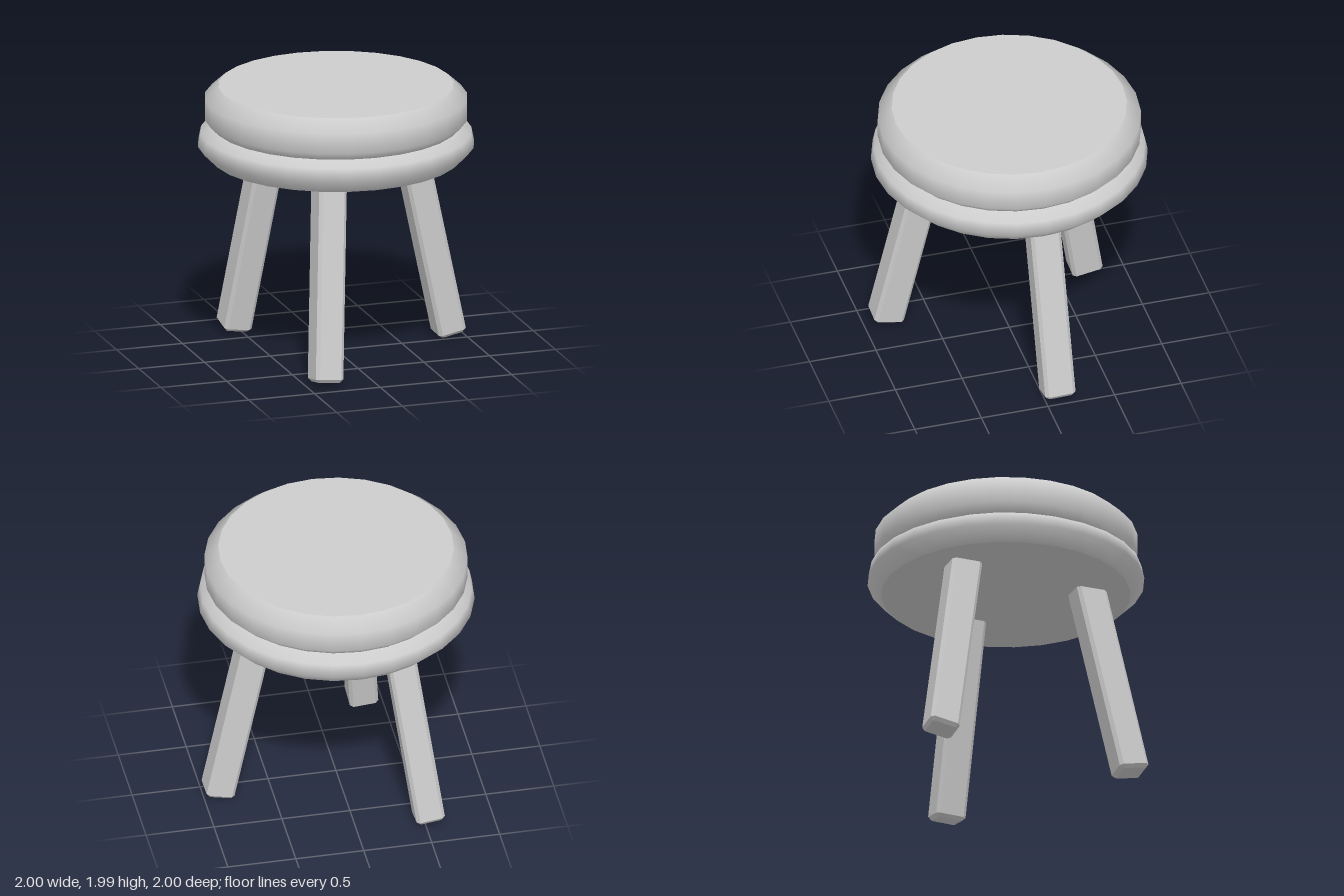
import * as THREE from 'three';

const SEGMENTS = 28;

// Smooth ring turned from a profile of [radius, height] points, bottom to top
function ring(name, profile, material) {
  const points = profile.map(([r, y]) => new THREE.Vector2(r, y));
  const mesh = new THREE.Mesh(new THREE.LatheGeometry(points, SEGMENTS), material);
  mesh.name = name;
  return mesh;
}

// Flat disc facing up or down
function disc(name, radius, y, facing, material) {
  const geometry = new THREE.CircleGeometry(radius, SEGMENTS);
  geometry.rotateX(-facing * Math.PI / 2);
  const mesh = new THREE.Mesh(geometry, material);
  mesh.position.y = y;
  mesh.name = name;
  return mesh;
}

// Square post with chamfered edges, standing on its own origin
function legGeometry(width, depth, length, c) {
  const x = width / 2, y = depth / 2;
  const outline = [
    [x, y - c], [x - c, y], [c - x, y], [-x, y - c],
    [-x, c - y], [c - x, -y], [x - c, -y], [x, c - y],
  ].map(([px, py]) => new THREE.Vector2(px, py));
  const geometry = new THREE.ExtrudeGeometry(new THREE.Shape(outline), {
    depth: length - 2 * c, bevelEnabled: true, bevelSegments: 1,
    bevelThickness: c, bevelSize: c, bevelOffset: -c,
  });
  geometry.translate(0, 0, c);
  geometry.rotateX(-Math.PI / 2);
  return geometry;
}

export function createModel() {
  const grey = new THREE.MeshStandardMaterial({ color: 0xcccccc });
  grey.name = 'light grey';

  const stool = new THREE.Group();
  stool.name = 'stool';

  // Seat: wide base ring with a cushion on top
  const seat = new THREE.Group();
  seat.name = 'seat';
  seat.add(
    disc('seatUnderside', 0.9, 1.46, -1, grey),
    ring('seatBase', [[0.9, 1.46], [1.0, 1.56], [0.98, 1.655], [0.89, 1.7]], grey),
    ring('cushion', [[0.89, 1.7], [0.95, 1.76], [0.95, 1.91], [0.85, 2.0]], grey),
    disc('cushionTop', 0.85, 2.0, 1, grey),
  );
  stool.add(seat);

  // Three splayed legs, leaning outward but keeping their faces square
  const geometry = legGeometry(0.21, 0.228, 1.52, 0.024);
  const up = new THREE.Vector3(0, 1, 0);
  const tilt = 0.215;
  for (let i = 0; i < 3; i++) {
    const angle = THREE.MathUtils.degToRad(-6.6 + i * 120);
    const cx = Math.cos(angle), cz = Math.sin(angle);
    const leg = new THREE.Mesh(geometry, grey);
    leg.name = `leg${i + 1}`;
    leg.position.set(0.9 * cx, 0.03, 0.9 * cz);
    leg.quaternion.setFromUnitVectors(up,
      new THREE.Vector3(-Math.sin(tilt) * cx, Math.cos(tilt), -Math.sin(tilt) * cz));
    stool.add(leg);
  }
  return stool;
}
